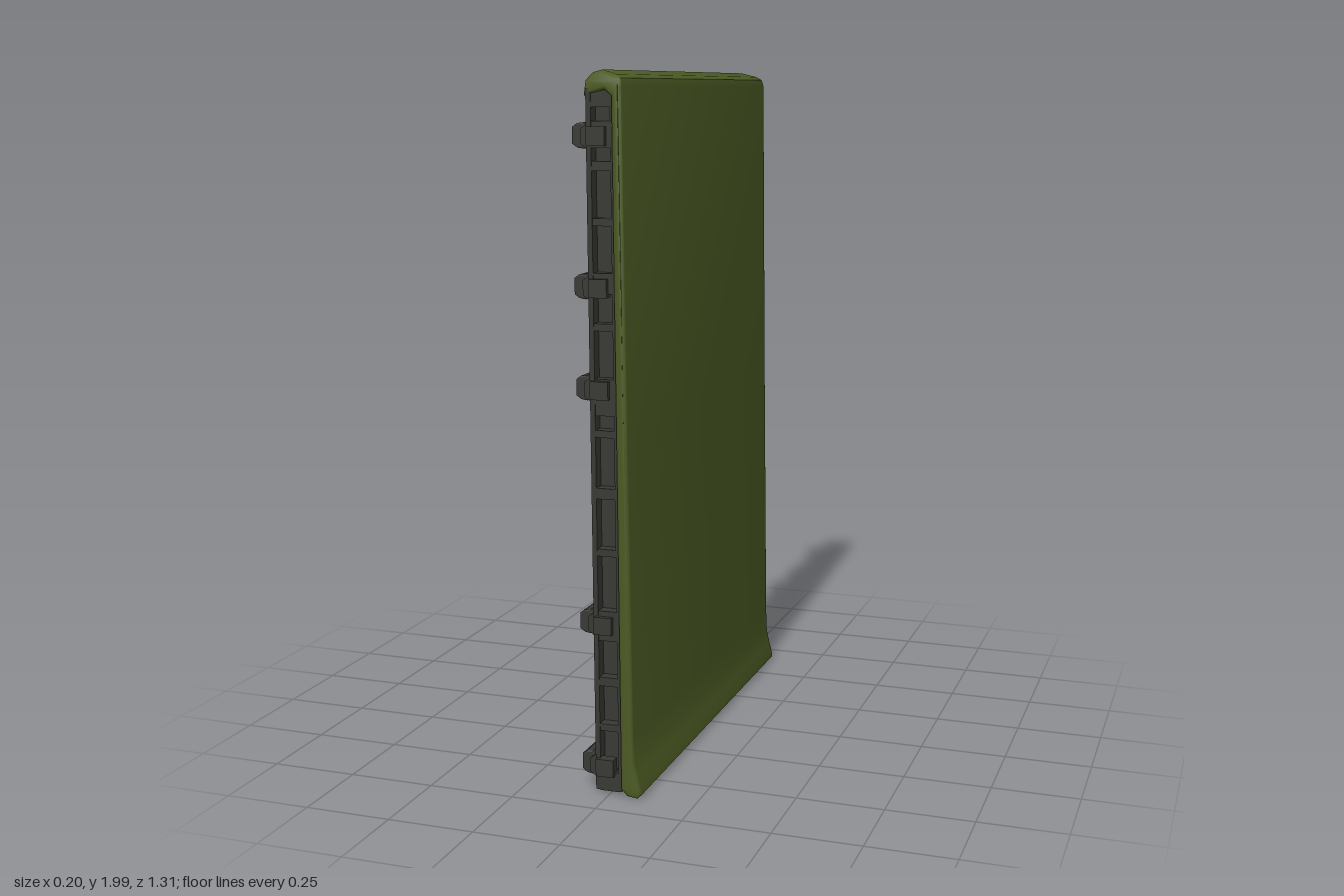
import * as THREE from 'three';
import { toCreasedNormals } from 'three/addons/utils/BufferGeometryUtils.js';

const cover = new THREE.MeshStandardMaterial({ color: 0x4b5a23 });
cover.name = 'olive cover';
const frameGrey = new THREE.MeshStandardMaterial({ color: 0x383834 });
frameGrey.name = 'dark grey frame';

// Extrudes an x-y profile along z, centred on z = 0
function extrudeZ(points, width, bevel) {
  const shape = new THREE.Shape(points.map(([x, y]) => new THREE.Vector2(x, y)));
  const geo = new THREE.ExtrudeGeometry(shape, {
    depth: width - 2 * bevel, bevelEnabled: bevel > 0, bevelSize: bevel,
    bevelThickness: bevel, bevelOffset: -bevel, bevelSegments: 3,
  });
  return geo.translate(0, 0, bevel - width / 2);
}

function add(parent, name, geo, material) {
  const mesh = new THREE.Mesh(geo, material);
  mesh.name = name;
  parent.add(mesh);
  return mesh;
}

// Box given by its limits on each axis
function addBox(parent, name, x0, x1, y0, y1, z0, z1) {
  const geo = new THREE.BoxGeometry(x1 - x0, y1 - y0, z1 - z0);
  geo.translate((x0 + x1) / 2, (y0 + y1) / 2, (z0 + z1) / 2);
  return add(parent, name, geo, frameGrey);
}

export function createModel() {
  const model = new THREE.Group();
  model.name = 'coveredPanel';

  // Cover sheet: hooks over the top, flares outward at the bottom
  const sheet = extrudeZ([
    [0.05, 1.955], [0.046, 1.975], [0.03, 1.985], [-0.015, 1.997], [-0.042, 1.99],
    [-0.058, 1.97], [-0.062, 1.93], [-0.04, 1.935], [0, 1.945], [0.02, 1.93],
    [0.03, 1], [0.037, 0.1], [0.038, 0.03], [0.055, 0.012], [0.085, 0.008],
    [0.097, 0.02], [0.095, 0.035], [0.085, 0.075], [0.077, 0.11], [0.074, 0.18], [0.062, 1],
  ], 1.31, 0.009);
  // Round the sheet's corners and narrow the hook at the back
  const pos = sheet.attributes.position;
  for (let i = 0; i < pos.count; i++) {
    const y = pos.getY(i);
    const top = THREE.MathUtils.clamp((y - 1.95) / 0.045, 0, 1);
    const back = y > 1.9 ? THREE.MathUtils.clamp((0.05 - pos.getX(i)) / 0.11, 0, 1) : 0;
    pos.setZ(i, pos.getZ(i) * (1 - 0.035 * top * top - 0.025 * back));
  }
  add(model, 'coverSheet', toCreasedNormals(sheet, 0.7), cover);

  // Frame leans slightly about the panel's middle
  const frame = new THREE.Group();
  frame.name = 'frame';
  frame.position.y = 1;
  frame.rotation.z = 0.007;
  model.add(frame);
  const body = new THREE.Group();
  body.name = 'frameBody';
  body.position.y = -1;
  frame.add(body);

  addBox(body, 'core', -0.036, 0.022, 0.05, 1.945, -0.605, 0.605);
  addBox(body, 'backPlate', -0.048, -0.034, 0.018, 1.95, -0.64, 0.64);
  addBox(body, 'frontPlate', 0.02, 0.03, 0.018, 1.94, -0.64, 0.64);

  // Ribs between the pockets on both side edges
  const ribs = [[0.015, 0.07], [0.19, 0.21], [0.32, 0.345], [0.45, 0.535], [0.69, 0.71],
    [0.85, 0.88], [1.02, 1.04], [1.08, 1.18], [1.31, 1.33], [1.41, 1.465],
    [1.59, 1.61], [1.735, 1.76], [1.795, 1.865], [1.9, 1.945]];
  for (const side of [-1, 1]) {
    for (const [y0, y1] of ribs) {
      const a = side * 0.6, b = side * 0.638;
      addBox(body, 'sideRib', -0.036, 0.022, y0, y1, Math.min(a, b), Math.max(a, b));
    }
  }

  // Ribs between the pockets along the bottom edge
  for (let i = 0; i <= 9; i++) {
    const z = -0.62 + i * 1.24 / 9;
    addBox(body, 'bottomRib', -0.036, 0.022, 0.018, 0.055, z - 0.014, z + 0.014);
  }

  // Back rails, each with three clips and a bracket at either end
  for (const y of [0.085, 0.495, 1.15, 1.425, 1.825]) {
    const rail = extrudeZ([[-0.045, 0.035], [-0.066, 0.02], [-0.066, -0.02], [-0.045, -0.035]], 1.27, 0);
    add(body, 'backRail', rail, frameGrey).position.y = y;
    for (const z of [-0.578, 0, 0.578]) {
      const clip = extrudeZ([[-0.045, 0.024], [-0.058, 0.026], [-0.064, 0.036], [-0.082, 0.034],
        [-0.096, 0.024], [-0.096, -0.02], [-0.082, -0.03], [-0.064, -0.033],
        [-0.058, -0.024], [-0.045, -0.022]], 0.088, 0.004);
      add(body, 'railClip', clip, frameGrey).position.set(0, y, z);
    }
    addBox(body, 'endBracket', -0.044, 0.008, y - 0.025, y + 0.025, 0.62, 0.652);
    addBox(body, 'endBracket', -0.044, 0.008, y - 0.025, y + 0.025, -0.652, -0.62);
  }
  return model;
}
